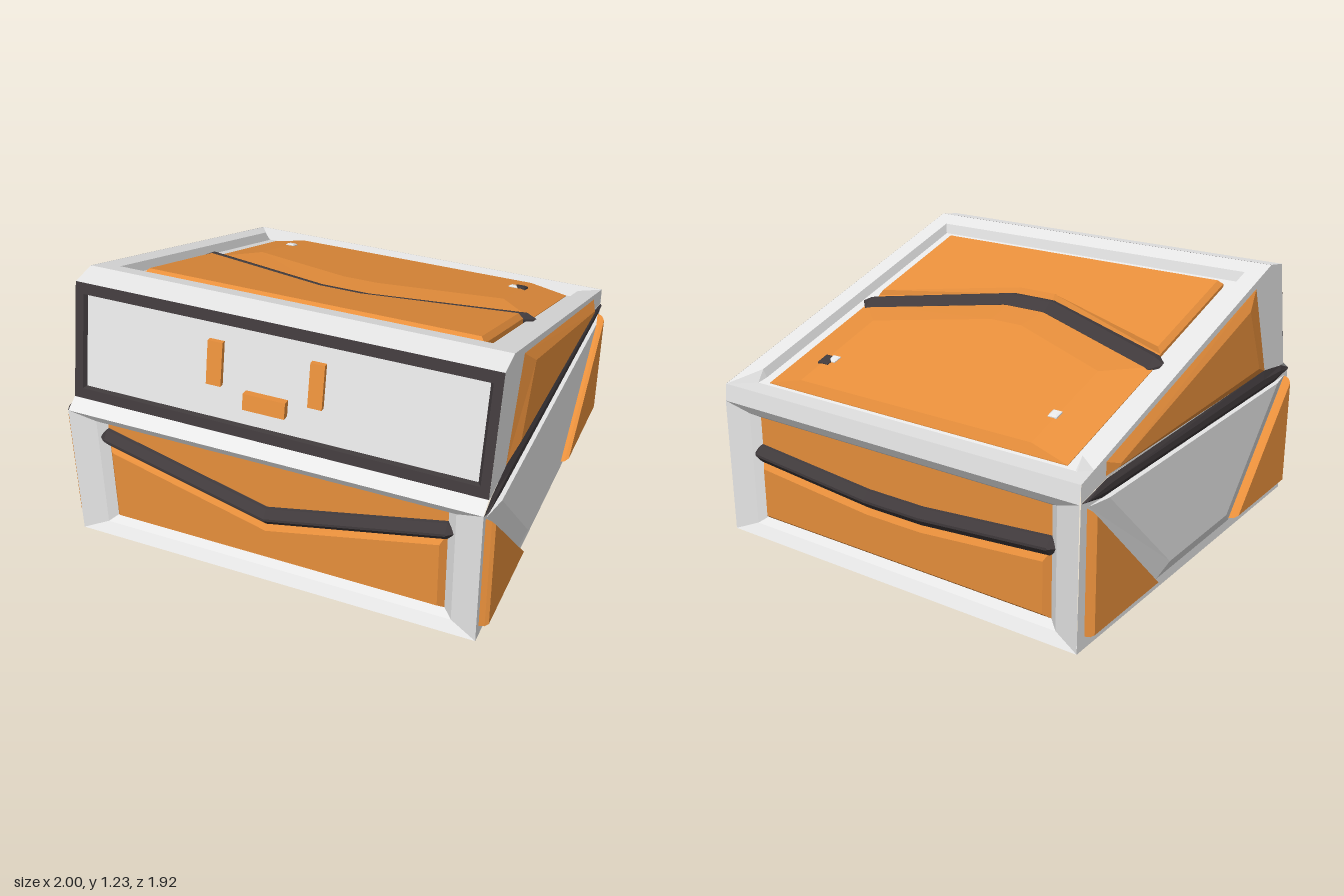
import * as THREE from 'three';

const mat = (name, color) => {
  const m = new THREE.MeshStandardMaterial({ color, side: THREE.DoubleSide, flatShading: true });
  m.name = name;
  return m;
};

const W = 0.96; // half width of the shell

// Skin through stacked outlines: each loop is [points, height]; the last one is capped if asked.
// A point may carry a third number, added to its height.
// map turns (u, v, height) into a position; flip is for left-handed maps.
function skin(loops, map, flip = false, cap = true) {
  const rev = THREE.ShapeUtils.area(loops[0][0].map(p => new THREE.Vector2(...p))) < 0;
  const rings = loops.map(([pts, h]) => {
    const q = rev ? [...pts].reverse() : pts;
    return q.map(([u, v, dh = 0]) => map(u, v, h + dh));
  });
  const out = [];
  const tri = (a, b, c) => out.push(...a, ...(flip ? c : b), ...(flip ? b : c));
  for (let k = 0; k + 1 < rings.length; k++) {
    const a = rings[k], b = rings[k + 1], n = a.length;
    for (let i = 0; i < n; i++) {
      const j = (i + 1) % n;
      tri(a[i], a[j], b[j]);
      tri(a[i], b[j], b[i]);
    }
  }
  if (cap) {
    const last = loops[loops.length - 1][0];
    const flat = (rev ? [...last].reverse() : last).map(p => new THREE.Vector2(p[0], p[1]));
    const r = rings[rings.length - 1];
    for (const [a, b, c] of THREE.ShapeUtils.triangulateShape(flat, [])) tri(r[a], r[b], r[c]);
  }
  const g = new THREE.BufferGeometry();
  g.setAttribute('position', new THREE.Float32BufferAttribute(out, 3));
  g.computeVertexNormals();
  return g;
}

const rect = (u0, v0, u1, v1) => [[u0, v0], [u1, v0], [u1, v1], [u0, v1]];

// Band of half width w following a line, with pointed ends
function band(line, w) {
  const [a, b] = [line[0], line[line.length - 1]];
  return [
    [a[0] - w, a[1]],
    ...line.map(([u, v]) => [u, v - w]),
    [b[0] + w, b[1]],
    ...[...line].reverse().map(([u, v]) => [u, v + w]),
  ];
}

// Outline shrunk towards its middle
function inset(pts, k) {
  const cu = pts.reduce((s, p) => s + p[0], 0) / pts.length;
  const cv = pts.reduce((s, p) => s + p[1], 0) / pts.length;
  return pts.map(([u, v]) => [cu + (u - cu) * k, cv + (v - cv) * k]);
}

// Working planes
const front = (x, y, h) => [x, y, W + h];
const back = (x, y, h) => [-x, y, -W - h];
const top = (x, z, h) => [x, 0.729 + 0.309 * (z + 0.95) + h, z];
const screen = (x, y, h) => [x, y, 0.79 + (1.21 - y) * 0.2115 + h];

export function createModel() {
  const grey = mat('lightGrey', 0xe6e6e6);
  const orange = mat('orange', 0xe9903c);
  const dark = mat('charcoal', 0x403a3c);
  const model = new THREE.Group();
  model.name = 'console';
  const add = (name, material, ...args) => {
    const m = new THREE.Mesh(skin(...args), material);
    m.name = name;
    model.add(m);
  };

  // Front and back: bevelled frame, upper panel, raised lower panel and the stripe between them
  const faces = [
    ['front', front, [[-0.8, 0.52], [-0.02, 0.318], [0.8, 0.495]]],
    ['back', back, [[-0.8, 0.41], [-0.15, 0.355], [0.15, 0.355], [0.8, 0.41]]],
  ];
  for (const [name, map, line] of faces) {
    add(name + 'Frame', grey, [
      [rect(-W, 0, W, 0.65), 0],
      [rect(-0.84, 0.05, 0.84, 0.605), -0.03],
      [rect(-0.8, 0.08, 0.8, 0.585), -0.06],
    ], map, false, false);
    add(name + 'UpperPanel', orange, [
      [[...line.map(([u, v]) => [u, v + 0.02]), [0.8, 0.585], [-0.8, 0.585]], -0.06],
    ], map);
    const lower = (x, y, drop) => [[-x, y], [x, y],
      ...[...line].reverse().map(([u, v]) => [Math.sign(u) * Math.min(Math.abs(u), x), v - drop])];
    add(name + 'LowerPanel', orange, [
      [lower(0.8, 0.08, 0.02), -0.06],
      [lower(0.775, 0.105, 0.068), -0.03],
    ], map);
    add(name + 'Stripe', dark, [
      [band(line, 0.042), -0.06],
      [band(line, 0.04), -0.045],
      [band(line, 0.006), -0.015],
    ], map);
  }

  // Sides: walls, bulging panels, corner triangles and the seam rail
  for (const s of [1, -1]) {
    const side = (z, y, h) => [s * (W + h), y, z];
    const flip = s > 0;
    const name = s > 0 ? 'left' : 'right';
    add(name + 'BaseWall', grey, [[[
      [0.96, 0], [0.96, 0.65], [0.8, 0.625], [-0.8, 0.625], [-0.95, 0.65], [-0.96, 0],
    ], 0]], side, flip);
    add(name + 'BasePanel', grey, [
      [[[0.92, 0.62], [0.37, 0.05], [-0.33, 0.05], [-0.9, 0.62]], 0.002],
      [[[0.79, 0.62], [0.3, 0.11], [-0.25, 0.11], [-0.78, 0.62]], 0.025],
    ], side, flip);
    for (const [end, z0, z1] of [['Front', 0.925, 0.38], ['Back', -0.905, -0.35]]) {
      const t = [[z0, 0.615], [z0, 0.055], [z1, 0.055]];
      add(name + end + 'Triangle', orange, [[t, 0], [inset(t, 0.98), 0.025], [inset(t, 0.93), 0.04]], side, flip);
    }
    // Upper wall, open behind its panel
    add(name + 'UpperWall', grey, [
      [[[0.67, 0.7], [0.9, 0.685], [0.79, 1.21], [0.67, 1.23], [-0.95, 0.73], [-0.95, 0.65], [-0.77, 0.69]], 0],
      [[[0.68, 0.71], [0.632, 0.842], [0.536, 1.106], [0.52, 1.15], [-0.77, 0.76], [-0.77, 0.73], [-0.77, 0.7]], 0],
    ], side, flip, false);
    add(name + 'UpperPanel', orange, [
      [[[0.52, 1.15], [-0.77, 0.76], [-0.77, 0.7], [0.68, 0.71]], 0],
      [[[0.42, 1.07], [-0.7, 0.735], [-0.7, 0.725], [0.56, 0.76]], 0.025],
    ], side, flip);
    const rail = [[0.96, 0.65], [0.8, 0.62], [-0.8, 0.62], [-0.95, 0.65], [-0.77, 0.69], [0.67, 0.715], [0.87, 0.685]];
    add(name + 'SeamRail', dark, [
      [rail, 0.002],
      [rail.map(([z, y]) => [z * 0.97, 0.655 + (y - 0.655) * 0.35]), 0.014],
    ], side, flip);
  }

  // Cross strips closing the shell between the two sides
  const strips = [
    ['frontLedge', 0.96, 0.65, 0.9, 0.69, false],
    ['frontLip', 0.79, 1.21, 0.67, 1.23, false],
    ['backLip', -0.96, 0.65, -0.95, 0.73, true],
  ];
  for (const [name, z0, y0, z1, y1, flip] of strips) {
    add(name, grey, [[rect(-W, 0, W, 1), 0]],
      (x, t) => [x, y0 + (y1 - y0) * t, z0 + (z1 - z0) * t], flip);
  }

  // Open underside with a narrow rim
  add('bottomRim', grey, [[rect(-W, -W, W, W), 0], [rect(-0.92, -0.92, 0.92, 0.92), 0]],
    (x, z) => [x, 0, z], false, false);

  // Sloping top: raised rim dipping at the back, two orange panels and a stripe between them
  const ring = (x, zb, zs, zf, dip) => [[-x, zb, dip], [x, zb, dip], [x, zs], [x, zf], [-x, zf], [-x, zs]];
  add('topTray', grey, [
    [ring(W, -0.95, -0.86, 0.67, 0), 0],
    [ring(0.87, -0.835, -0.8, 0.58, -0.045), 0],
    [ring(0.86, -0.83, -0.79, 0.57, 0), -0.045],
    [ring(0.8, -0.82, -0.78, 0.51, 0), -0.045],
    [ring(0.8, -0.82, -0.78, 0.51, 0), -0.07],
  ], top, true, false);
  add('topBackPanel', orange, [
    [[[-0.815, -0.82], [0.81, -0.82], [0.81, -0.12], [0.1, 0.11], [-0.1, 0.11], [-0.815, -0.12]], -0.07],
    [[[-0.815, -0.82], [0.81, -0.82], [0.81, -0.14], [0.1, 0.09], [-0.1, 0.09], [-0.815, -0.14]], -0.042],
    [[[-0.63, -0.8], [0.63, -0.8], [0.63, -0.3], [0.07, -0.11], [-0.1, -0.11], [-0.63, -0.3]], -0.004],
  ], top, true);
  add('topFrontPanel', orange, [
    [[[-0.8, -0.12], [-0.1, 0.11], [0.1, 0.11], [0.79, -0.12], [0.79, 0.51], [-0.8, 0.51]], -0.07],
    [[[-0.8, -0.07], [-0.1, 0.15], [0.1, 0.15], [0.79, -0.07], [0.79, 0.51], [-0.8, 0.51]], -0.03],
    [[[-0.78, -0.06], [-0.1, 0.165], [0.1, 0.165], [0.77, -0.06], [0.77, 0.49], [-0.78, 0.49]], -0.005],
  ], top, true);
  const topLine = [[-0.8, -0.125], [-0.11, 0.113], [0.12, 0.113], [0.79, -0.125]];
  add('topStripe', dark, [
    [band(topLine, 0.052), -0.07],
    [band(topLine, 0.052), -0.035],
    [band(topLine, 0.006), -0.012],
  ], top, true);

  // Small pegs on the top
  for (const [x, z, r, m] of [[-0.62, -0.615, 0.022, grey], [0.59, -0.62, 0.022, grey], [0.62, -0.635, 0.03, dark]]) {
    const sq = rect(x - r, z - r, x + r, z + r);
    add('topPeg', m, [[sq, -0.1], [sq, 0], [inset(sq, 0.6), 0.006]], top, true);
  }

  // Tilted screen with a dark surround and a simple face
  const glass = rect(-0.91, 0.74, 0.905, 1.15);
  add('screenSurround', dark, [
    [rect(-W, 0.69, W, 1.21), 0],
    [rect(-0.92, 0.735, 0.92, 1.16), 0],
    [glass, -0.02],
  ], screen, false, false);
  add('screenGlass', grey, [[glass, -0.02]], screen);
  const features = [
    ['eye', -0.31, 0.89, -0.24, 1.08, 0],
    ['eye', 0.16, 0.89, 0.225, 1.08, 0],
    ['mouth', -0.13, 0.82, 0.065, 0.89, 0.01],
  ];
  for (const [name, u0, v0, u1, v1, h] of features) {
    const r = rect(u0, v0, u1, v1);
    add(name, orange, [[r, -0.08], [r, h]], screen);
  }
  return model;
}
